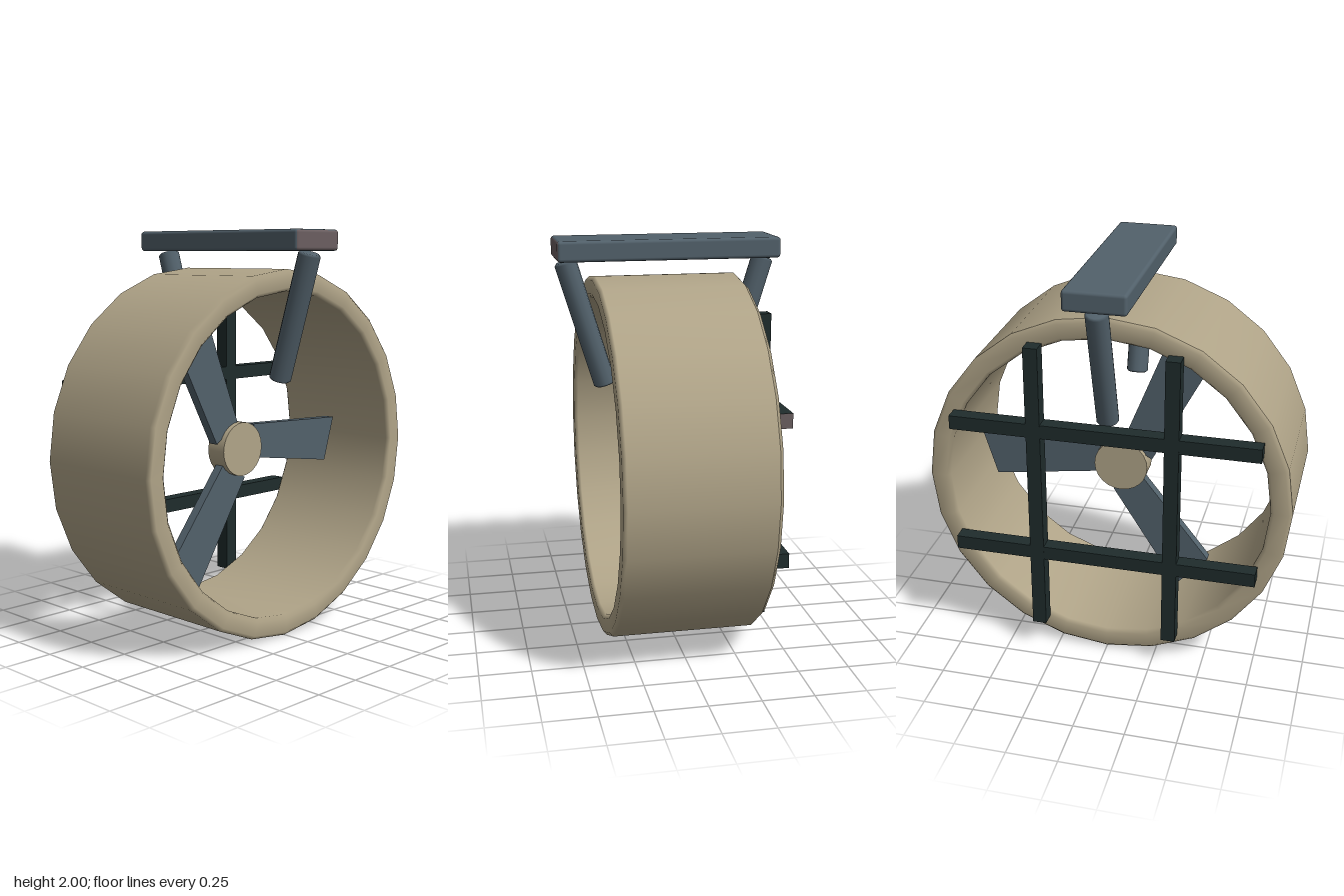
import * as THREE from 'three';
import { RoundedBoxGeometry } from 'three/addons/geometries/RoundedBoxGeometry.js';

const CY = 0.91; // height of the fan axis

function mat(name, color) {
  const m = new THREE.MeshStandardMaterial({ color });
  m.name = name;
  return m;
}

export function createModel() {
  const tan = mat('tan', 0xb0a488);
  const slate = mat('slate', 0x52616b);
  const dark = mat('darkGreen', 0x1f2c2c);
  const brown = mat('brown', 0x6a5e60);

  const model = new THREE.Group();
  model.name = 'ductedFan';
  function add(name, geometry, material, x = 0, y = 0, z = 0, parent = model) {
    const mesh = new THREE.Mesh(geometry, material);
    mesh.name = name;
    mesh.position.set(x, y, z);
    parent.add(mesh);
    return mesh;
  }

  // Round duct with softened rims
  const ro = 0.905, ri = 0.8, h = 0.362, b = 0.018;
  const profile = [
    [ro, -h + b], [ro, h - b], [ro - b, h], [ri + b, h],
    [ri, h - b], [ri, -h + b], [ri + b, -h], [ro - b, -h], [ro, -h + b],
  ].map(([x, y]) => new THREE.Vector2(x, y));
  add('duct', new THREE.LatheGeometry(profile, 24), tan, 0, CY, 0).rotation.x = Math.PI / 2;

  // Rotor: hub and three skewed blades
  const rotor = new THREE.Group();
  rotor.name = 'rotor';
  rotor.position.y = CY;
  model.add(rotor);
  add('hub', new THREE.CylinderGeometry(0.137, 0.137, 0.11, 24), tan, 0, 0, 0, rotor)
    .rotation.x = Math.PI / 2;
  const bladeShape = new THREE.Shape([
    [0.11, 0.115], [0.12, -0.06], [0.67, -0.14], [0.74, 0.09],
  ].map(([x, y]) => new THREE.Vector2(x, y)));
  const bladeGeo = new THREE.ExtrudeGeometry(bladeShape, { depth: 0.05, bevelEnabled: false });
  bladeGeo.translate(0, 0, -0.025);
  for (let i = 0; i < 3; i++) {
    add('blade', bladeGeo, slate, 0, 0, 0, rotor).rotation.z = i * Math.PI * 2 / 3;
  }

  // Rear guard: two uprights and two crossbars
  const guard = new THREE.Group();
  guard.name = 'rearGuard';
  guard.position.set(0, CY, -0.398);
  model.add(guard);
  const upright = new THREE.BoxGeometry(0.07, 1.515, 0.075);
  const crossbar = new THREE.BoxGeometry(1.51, 0.07, 0.074);
  for (const s of [-1, 1]) {
    add('guardUpright', upright, dark, s * 0.335, 0, 0, guard);
    // the upper crossbar has one brown end
    const end = s > 0 ? brown : dark;
    add('guardCrossbar', crossbar, [end, dark, dark, dark, dark, dark], 0, s * 0.335, 0, guard);
  }

  // Hanging beam with a brown front end
  add('mountBeam', new RoundedBoxGeometry(0.3, 0.1, 1.085, 2, 0.016),
    [slate, slate, slate, slate, brown, slate], 0, 1.95, 0);

  // Slanted struts below the beam, front and rear
  const strutProfile = [
    [0, -0.32], [0.045, -0.32], [0.055, -0.31], [0.055, 0.31], [0.045, 0.32], [0, 0.32],
  ].map(([x, y]) => new THREE.Vector2(x, y));
  const strutGeo = new THREE.LatheGeometry(strutProfile, 12);
  for (const s of [-1, 1]) {
    const strut = add(s > 0 ? 'frontStrut' : 'rearStrut', strutGeo, slate, 0, 1.585, s * 0.397);
    strut.rotation.x = s * 0.297;
  }
  return model;
}
